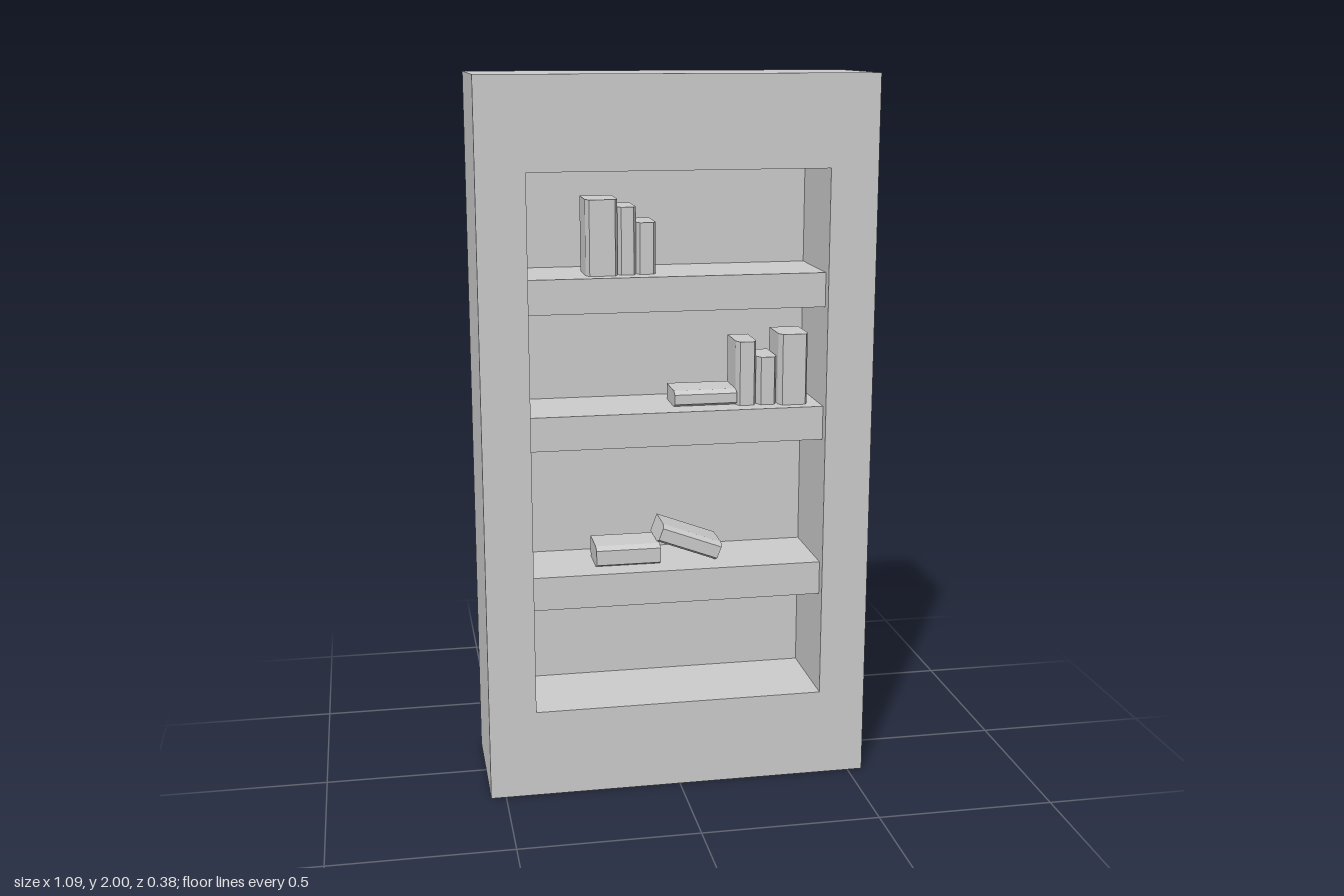
import * as THREE from 'three';
import { mergeGeometries } from 'three/addons/utils/BufferGeometryUtils.js';

const W = 1.085, H = 2, D = 0.38;                       // outer case
const IN = { w: 0.82, y0: 0.25, y1: 1.75, back: -0.08 }; // cavity
const FRONT = D / 2;
const mat = new THREE.MeshStandardMaterial({ color: 0xcccccc, flatShading: true });

function addMesh(parent, name, geometry) {
  const mesh = new THREE.Mesh(geometry, mat);
  mesh.name = name;
  parent.add(mesh);
  return mesh;
}

// Box without its +z face; inward = true turns the faces to the inside
function openBox(w, h, d, inward) {
  const g = new THREE.BoxGeometry(w, h, d);
  const index = Array.from(g.index.array);
  index.splice(24, 6);
  if (inward) index.reverse();
  g.setIndex(index);
  g.clearGroups();
  g.computeVertexNormals();
  return g;
}

// Case: outer shell, front face with opening, recessed cavity
function caseGeometry() {
  const shell = openBox(W, H, D, false).translate(0, H / 2, 0);

  const { w, y0, y1, back } = IN;
  const face = new THREE.Shape();
  face.moveTo(-W / 2, 0).lineTo(W / 2, 0).lineTo(W / 2, H).lineTo(-W / 2, H).closePath();
  const hole = new THREE.Path();
  hole.moveTo(-w / 2, y0).lineTo(-w / 2, y1).lineTo(w / 2, y1).lineTo(w / 2, y0).closePath();
  face.holes.push(hole);
  const front = new THREE.ShapeGeometry(face).translate(0, 0, FRONT);

  const cavity = openBox(w, y1 - y0, FRONT - back, true)
    .translate(0, (y0 + y1) / 2, (FRONT + back) / 2);
  return mergeGeometries([shell, front, cavity]);
}

// Upright book with a bevelled spine towards +z, base at y = 0
function bookGeometry(thickness, height, depth) {
  const t = thickness / 2, d = depth / 2, b = 0.009;
  const s = new THREE.Shape();
  s.moveTo(-t, d).lineTo(t, d).lineTo(t, -d + 0.02).lineTo(t - b, -d).lineTo(-t + b, -d).lineTo(-t, -d + 0.02).closePath();
  return new THREE.ExtrudeGeometry(s, { depth: height, bevelEnabled: false }).rotateX(-Math.PI / 2);
}

export function createModel() {
  const model = new THREE.Group();
  model.name = 'bookcase';
  addMesh(model, 'case', caseGeometry());

  // Shelves, set slightly back from the front
  const shelfFront = 0.16, shelfTops = [0.635, 1.09, 1.465];
  for (const top of shelfTops) {
    const depth = shelfFront - IN.back;
    addMesh(model, 'shelf', new THREE.BoxGeometry(IN.w, 0.095, depth))
      .position.set(0, top - 0.0475, (shelfFront + IN.back) / 2);
  }

  // Standing books: shelf, left x, right x, height, front z
  const standing = [
    [2, -0.245, -0.157, 0.205, 0.12],
    [2, -0.157, -0.105, 0.183, 0.11],
    [2, -0.105, -0.05, 0.14, 0.105],
    [1, 0.175, 0.233, 0.18, 0.11],
    [1, 0.235, 0.291, 0.135, 0.11],
    [1, 0.293, 0.377, 0.2, 0.125],
  ];
  const bookDepth = 0.125;
  for (const [shelf, x0, x1, h, z] of standing) {
    addMesh(model, 'standingBook', bookGeometry(x1 - x0, h, bookDepth))
      .position.set((x0 + x1) / 2, shelfTops[shelf], z - bookDepth / 2);
  }

  // Lying books: centre x, centre y, length, thickness, tilt
  const lying = [
    [0.088, 1.1125, 0.176, 0.045, 0],
    [-0.132, 0.665, 0.183, 0.06, 0],
    [0.045, 0.694, 0.18, 0.053, -0.36],
  ];
  for (const [x, y, length, thickness, tilt] of lying) {
    const g = bookGeometry(thickness, length, bookDepth)
      .translate(0, -length / 2, 0).rotateZ(Math.PI / 2 + tilt);
    addMesh(model, 'lyingBook', g).position.set(x, y, 0.045);
  }
  return model;
}
